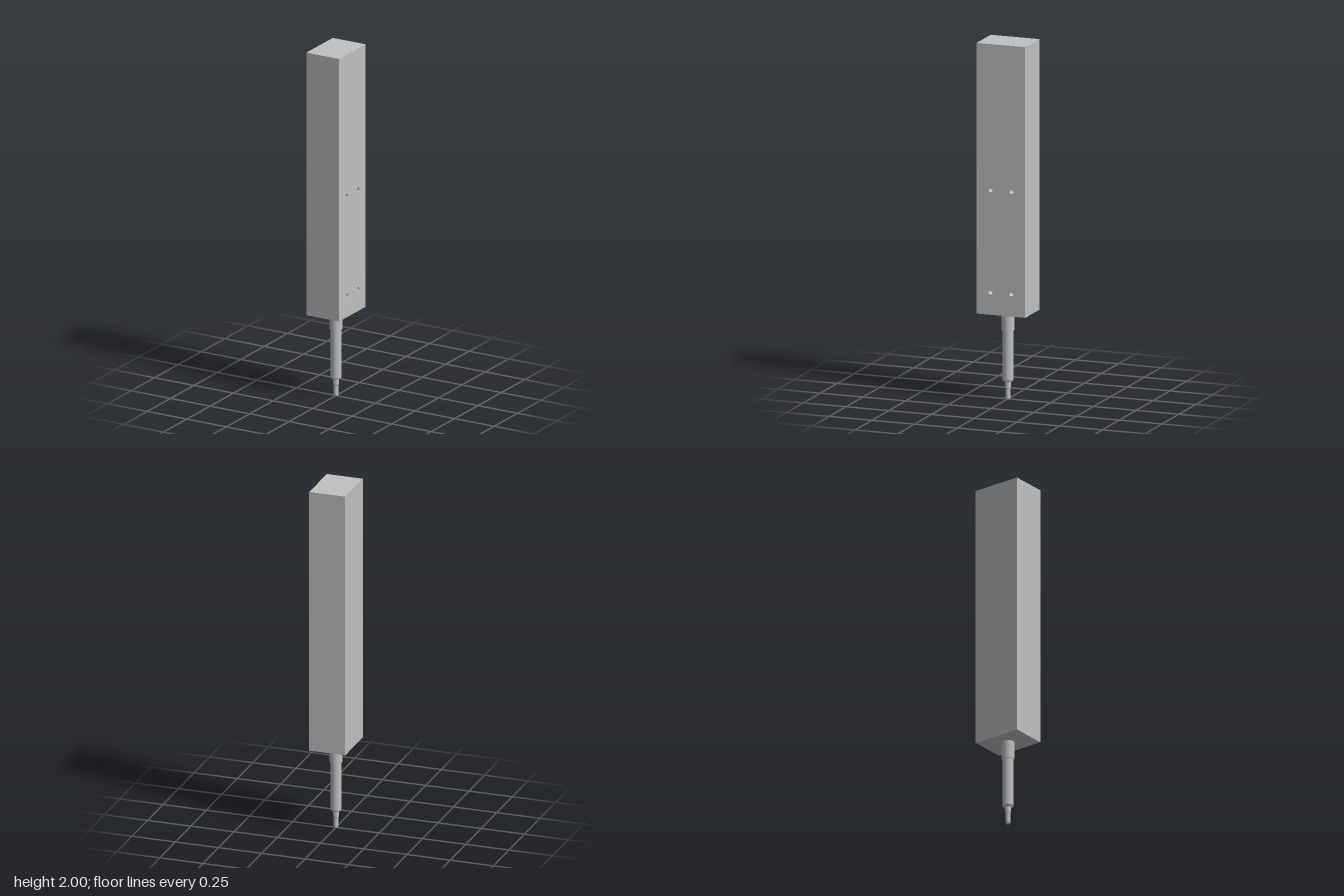
import * as THREE from 'three';

export function createModel() {
  const model = new THREE.Group();
  const metal = new THREE.MeshStandardMaterial({ color: 0xc0c0c0 });
  metal.name = 'light grey metal';

  const add = (name, geometry) => {
    const mesh = new THREE.Mesh(geometry, metal);
    mesh.name = name;
    model.add(mesh);
    return mesh;
  };

  const halfX = 0.104, halfZ = 0.142, bottom = 0.487, top = 2, holeDepth = 0.04;

  // Solid part of the housing
  const bodyWidth = 2 * halfX - holeDepth;
  add('housing', new THREE.BoxGeometry(bodyWidth, top - bottom, 2 * halfZ))
    .position.set(-holeDepth / 2, (top + bottom) / 2, 0);

  // Side wall with four blind mounting holes
  const wall = new THREE.Shape([
    new THREE.Vector2(-halfZ, bottom), new THREE.Vector2(halfZ, bottom),
    new THREE.Vector2(halfZ, top), new THREE.Vector2(-halfZ, top),
  ]);
  for (const y of [0.613, 1.185]) {
    for (const z of [-0.061, 0.061]) {
      wall.holes.push(new THREE.Path().absarc(z, y, 0.0125, 0, Math.PI * 2, true));
    }
  }
  const wallMesh = add('mountingWall', new THREE.ExtrudeGeometry(wall, {
    depth: holeDepth, bevelEnabled: false, curveSegments: 16,
  }));
  wallMesh.rotation.y = Math.PI / 2;
  wallMesh.position.x = halfX - holeDepth;

  // Turned sections: each is a list of [radius, y] from bottom to top,
  // with one lathe per straight run so that the steps stay sharp
  const turned = (name, profile) => {
    const group = new THREE.Group();
    group.name = name;
    for (let i = 0; i < profile.length - 1; i++) {
      const points = [profile[i], profile[i + 1]].map(([r, y]) => new THREE.Vector2(r, y));
      const mesh = new THREE.Mesh(new THREE.LatheGeometry(points, 40), metal);
      mesh.name = name + 'Section';
      group.add(mesh);
    }
    model.add(group);
  };
  turned('tip', [[0, 0], [0.011, 0], [0.0135, 0.008], [0.0135, 0.06], [0.0155, 0.065], [0.0155, 0.1]]);
  turned('spindle', [[0.0155, 0.1], [0.026, 0.1], [0.03, 0.108], [0.03, 0.385]]);
  turned('collar', [[0.03, 0.385], [0.0345, 0.385], [0.0345, bottom]]);

  return model;
}
